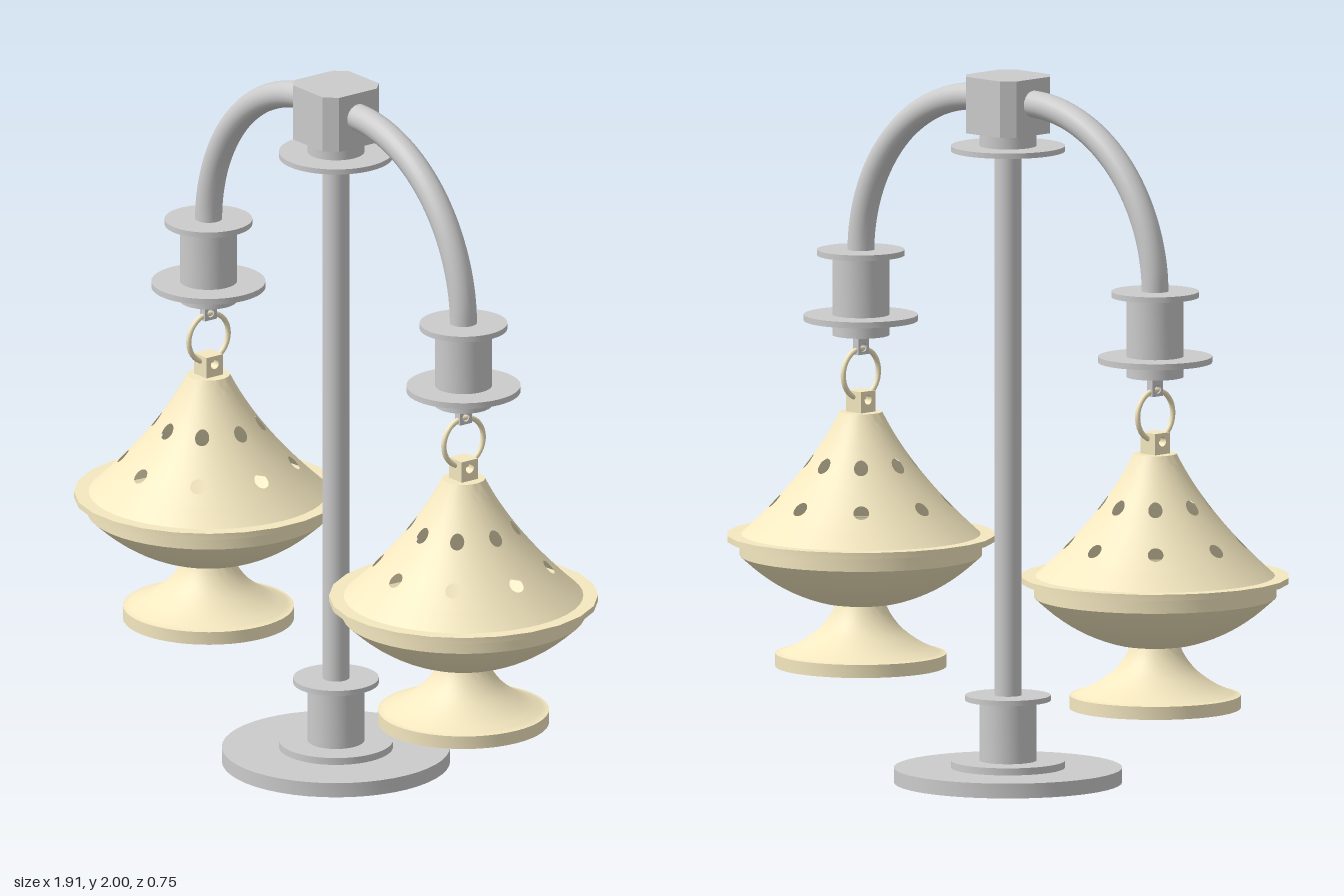
import * as THREE from 'three';
import { toCreasedNormals } from 'three/addons/utils/BufferGeometryUtils.js';

const grey = new THREE.MeshStandardMaterial({ color: 0xcccccc, side: THREE.DoubleSide });
const cream = new THREE.MeshStandardMaterial({ color: 0xf5e8c0, side: THREE.DoubleSide });

function add(parent, name, geometry, material) {
  const mesh = new THREE.Mesh(geometry, material);
  mesh.name = name;
  parent.add(mesh);
  return mesh;
}

// Turned part from [radius, height] pairs, listed bottom to top
function turned(points, segments = 48) {
  const profile = points.map(([r, y]) => new THREE.Vector2(r, y));
  const start = segments === 24 ? Math.PI / 24 : 0;
  return toCreasedNormals(new THREE.LatheGeometry(profile, segments, start), 0.6);
}

// Smooth run of profile points through a few control points
function smooth(points, steps) {
  const curve = new THREE.SplineCurve(points.map(([r, y]) => new THREE.Vector2(r, y)));
  return curve.getPoints(steps).map(p => [p.x, p.y]);
}

// Block with a round eye through it along x, centred on the eye's axis
function eyeBlock(width, bottom, top, eyeY, eyeRadius, depth) {
  const s = new THREE.Shape();
  s.moveTo(-width / 2, bottom);
  s.lineTo(width / 2, bottom);
  s.lineTo(width / 2, top);
  s.lineTo(-width / 2, top);
  s.closePath();
  s.holes.push(new THREE.Path().absarc(0, eyeY, eyeRadius, 0, Math.PI * 2, true));
  const g = new THREE.ExtrudeGeometry(s, { depth, bevelEnabled: false, curveSegments: 12 });
  return g.translate(0, 0, -depth / 2).rotateY(Math.PI / 2);
}

// Flared lid: radius and slope by height
const lidT = y => (0.99 - y) / 0.35;
const lidRadius = y => 0.06 + 0.172 * lidT(y) + 0.108 * lidT(y) ** 2;
const lidSlope = y => (0.172 + 0.216 * lidT(y)) / 0.35;

function lidStrip(y0, y1, steps) {
  const pts = [];
  for (let i = 0; i <= steps; i++) {
    const y = y0 + (y1 - y0) * i / steps;
    pts.push([lidRadius(y), y]);
  }
  return pts;
}

// Band of the lid made of eight cells, each with a vent hole in the middle
function ventBand(y0, y1, holeY, holeRx, holeRy) {
  const position = [], normal = [], index = [];
  const side = 6, n = side * 4, rings = 5, half = Math.PI / 8;
  for (let cell = 0; cell < 8; cell++) {
    const base = position.length / 3;
    for (let k = 0; k <= rings; k++) {
      for (let i = 0; i < n; i++) {
        // Point on the cell border, counter-clockwise from the lower left
        const f = (i % side) / side, s = Math.floor(i / side);
        const u = [f, 1, 1 - f, 0][s], v = [0, f, 1, 1 - f][s];
        const turn = -Math.PI * 0.75 + i / n * Math.PI * 2;
        const holeA = Math.cos(turn) * holeRx / lidRadius(holeY);
        const h = holeY + Math.sin(turn) * holeRy;
        const t = k / rings;
        const a = cell * 2 * half + holeA + ((u * 2 - 1) * half - holeA) * t;
        const y = h + (y0 + (y1 - y0) * v - h) * t;
        const r = lidRadius(y);
        position.push(Math.sin(a) * r, y, Math.cos(a) * r);
        const d = new THREE.Vector3(Math.sin(a), lidSlope(y), Math.cos(a)).normalize();
        normal.push(d.x, d.y, d.z);
        if (k < rings) {
          const j = (i + 1) % n, p = base + k * n;
          index.push(p + i, p + n + i, p + n + j, p + i, p + n + j, p + j);
        }
      }
    }
  }
  const g = new THREE.BufferGeometry();
  g.setAttribute('position', new THREE.Float32BufferAttribute(position, 3));
  g.setAttribute('normal', new THREE.Float32BufferAttribute(normal, 3));
  g.setIndex(index);
  return g;
}

function makeBurner() {
  const g = new THREE.Group();
  // Footed bowl
  const flare = smooth([[0.235, 0.307], [0.18, 0.33], [0.12, 0.372], [0.085, 0.415], [0.066, 0.455]], 12);
  add(g, 'foot', turned([[0, 0.27], [0.24, 0.27], [0.24, 0.307], ...flare]), cream);
  const belly = smooth([[0.06, 0.446], [0.12, 0.455], [0.2, 0.485], [0.275, 0.53], [0.34, 0.585]], 14);
  add(g, 'bowl', turned([...belly, [0.34, 0.63]]), cream);
  add(g, 'rim', turned([[0.33, 0.627], [0.377, 0.627], [0.377, 0.644], [0.33, 0.644]], 24), cream);
  // Pierced lid
  add(g, 'lidSkirt', turned(lidStrip(0.64, 0.69, 3)), cream);
  add(g, 'lidLowerVents', ventBand(0.69, 0.79, 0.737, 0.022, 0.017), cream);
  add(g, 'lidUpperVents', ventBand(0.79, 0.91, 0.85, 0.02, 0.02), cream);
  add(g, 'lidCrown', turned([...lidStrip(0.91, 0.99, 5), [0, 0.99]]), cream);
  // Pierced knob and hanging ring
  add(g, 'knob', eyeBlock(0.058, 0.985, 1.05, 1.026, 0.014, 0.058), cream);
  const ring = add(g, 'hangingRing', new THREE.TorusGeometry(0.07, 0.0075, 10, 40), cream);
  ring.rotation.y = Math.PI / 2;
  ring.position.y = 1.098;
  return g;
}

function makeSide(sign) {
  const g = new THREE.Group();
  // Arched arm in a quarter curve
  const path = new THREE.CurvePath();
  path.add(new THREE.LineCurve3(new THREE.Vector3(0, 1.93, 0), new THREE.Vector3(sign * 0.095, 1.93, 0)));
  const arc = [];
  for (let i = 0; i <= 16; i++) {
    const a = i / 16 * Math.PI / 2;
    arc.push(new THREE.Vector3(sign * (0.095 + 0.485 * Math.sin(a)), 1.44 + 0.49 * Math.cos(a), 0));
  }
  path.add(new THREE.CatmullRomCurve3(arc));
  add(g, 'arm', new THREE.TubeGeometry(path, 48, 0.038, 20), grey);
  // Flanged socket
  const drop = new THREE.Group();
  drop.position.x = sign * 0.58;
  add(drop, 'socket', turned([
    [0, 1.207], [0.08, 1.207], [0.08, 1.248], [0.16, 1.248], [0.16, 1.265], [0.08, 1.265],
    [0.08, 1.433], [0.123, 1.433], [0.123, 1.449], [0, 1.449]]), grey);
  add(drop, 'hangerLug', eyeBlock(0.042, 1.152, 1.21, 1.172, 0.012, 0.022), grey);
  const burner = makeBurner();
  burner.name = 'hangingBurner';
  drop.add(burner);
  drop.name = 'pendant';
  g.add(drop);
  g.name = sign > 0 ? 'leftSide' : 'rightSide';
  return g;
}

export function createModel() {
  const model = new THREE.Group();
  model.name = 'doubleBurnerStand';
  // Stepped base with a bore through it
  add(model, 'base', turned([
    [0.036, 0], [0.32, 0], [0.32, 0.042], [0.16, 0.042], [0.16, 0.062], [0.08, 0.062],
    [0.08, 0.232], [0.12, 0.232], [0.12, 0.247], [0.036, 0.247]]), grey);
  // Hollow post
  const post = add(model, 'post', new THREE.CylinderGeometry(0.038, 0.038, 1.84, 32, 1, true), grey);
  post.position.y = 0.922;
  // Collar under the hub
  add(model, 'hubCollar', turned([
    [0.036, 1.787], [0.16, 1.787], [0.16, 1.802], [0.08, 1.802], [0.08, 1.845]]), grey);
  // Square hub with cut corners
  const hub = new THREE.Shape();
  const e = 0.1, c = 0.067;
  [[e, c], [c, e], [-c, e], [-e, c], [-e, -c], [-c, -e], [c, -e], [e, -c]]
    .forEach(([x, y], i) => (i ? hub.lineTo(x, y) : hub.moveTo(x, y)));
  hub.closePath();
  const hubGeometry = new THREE.ExtrudeGeometry(hub, { depth: 0.16, bevelEnabled: false });
  add(model, 'hub', hubGeometry.rotateX(-Math.PI / 2).translate(0, 1.84, 0), grey);
  // Mirrored arms with their burners
  for (const sign of [1, -1]) model.add(makeSide(sign));
  return model;
}
